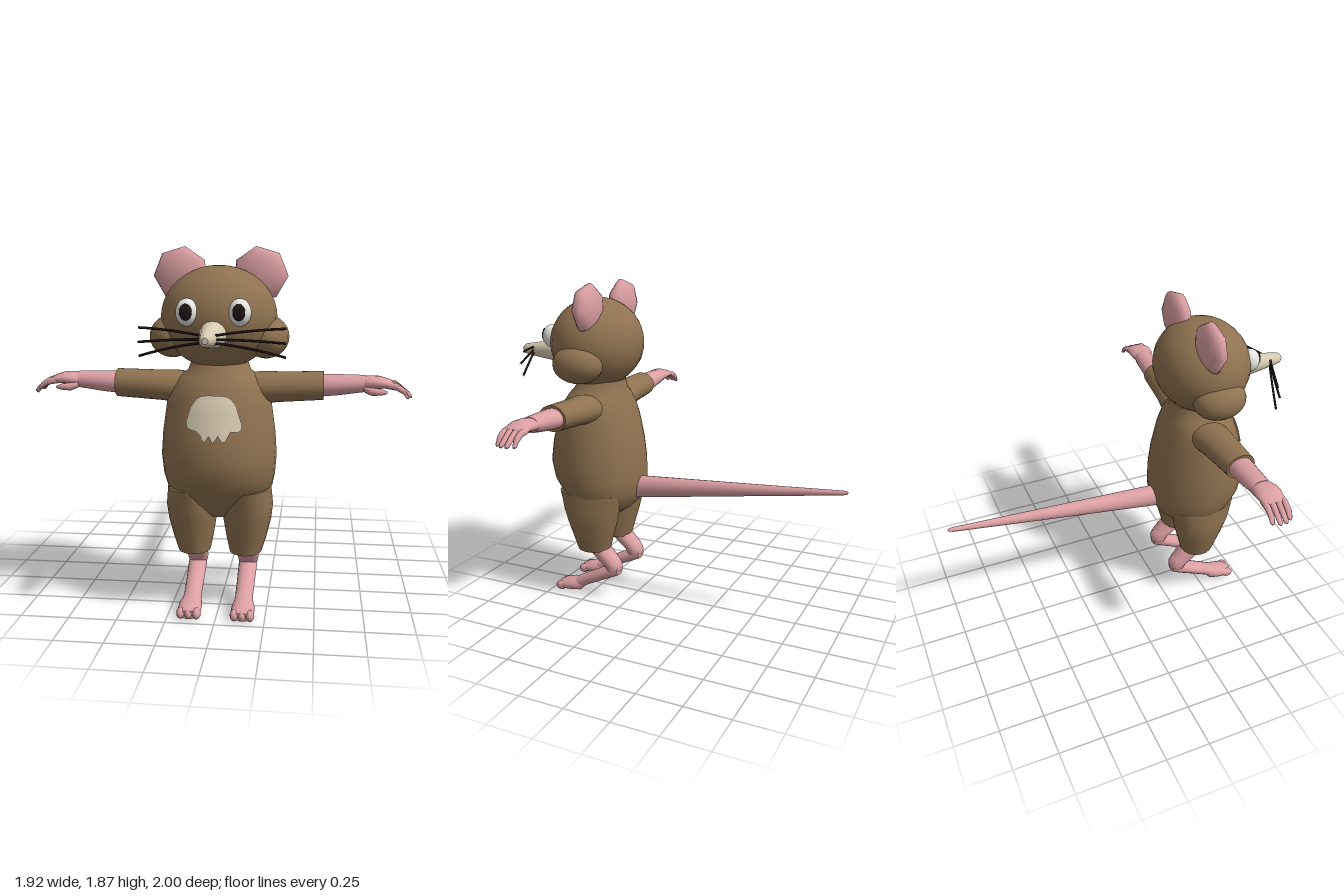
import * as THREE from 'three';

const mat = (name, color) => {
  const m = new THREE.MeshStandardMaterial({ color });
  m.name = name;
  return m;
};

// Body sections, bottom to top: y, half width, back z, front z
const BODY = [
  [0.5, 0.1, 0.36, 0.55], [0.54, 0.17, 0.3, 0.6], [0.59, 0.235, 0.25, 0.65], [0.66, 0.272, 0.22, 0.71],
  [0.73, 0.286, 0.212, 0.756], [0.83, 0.294, 0.215, 0.775], [0.95, 0.286, 0.23, 0.757],
  [1.1, 0.265, 0.262, 0.717], [1.18, 0.242, 0.29, 0.685], [1.225, 0.205, 0.305, 0.655],
  [1.255, 0.16, 0.32, 0.63], [1.31, 0.14, 0.33, 0.6],
];

// Front surface depth of the body at (x, y)
function bodyFront(x, y) {
  let i = 0;
  while (i < BODY.length - 2 && BODY[i + 1][0] < y) i++;
  const t = (y - BODY[i][0]) / (BODY[i + 1][0] - BODY[i][0]);
  const [rx, back, front] = [1, 2, 3].map((k) => THREE.MathUtils.lerp(BODY[i][k], BODY[i + 1][k], t));
  return (back + front) / 2 + ((front - back) / 2) * Math.sqrt(1 - (x / rx) ** 2);
}

// Capped loft of ellipses; section = [x, y, z, a, b], a and b along the two other axes
function loft(axis, sections, segs = 16) {
  const [ia, ib] = { x: [1, 2], y: [2, 0], z: [0, 1] }[axis];
  const k = 'xyz'.indexOf(axis);
  const forward = sections[sections.length - 1][k] > sections[0][k];
  const pos = [], idx = [];
  const ring = (s) => {
    const start = pos.length / 3;
    for (let j = 0; j < segs; j++) {
      const t = (j / segs) * Math.PI * 2 * (forward ? 1 : -1);
      const p = s.slice(0, 3);
      p[ia] += s[3] * Math.cos(t);
      p[ib] += s[4] * Math.sin(t);
      pos.push(...p);
    }
    return start;
  };
  sections.forEach(ring);
  for (let i = 0; i < sections.length - 1; i++) {
    for (let j = 0; j < segs; j++) {
      const n = (j + 1) % segs, a = i * segs, b = a + segs;
      idx.push(a + j, a + n, b + n, a + j, b + n, b + j);
    }
  }
  [sections[0], sections[sections.length - 1]].forEach((s, end) => {
    const r = ring(s), c = pos.length / 3;
    pos.push(s[0], s[1], s[2]);
    for (let j = 0; j < segs; j++) {
      const n = (j + 1) % segs;
      if (end) idx.push(c, r + j, r + n);
      else idx.push(c, r + n, r + j);
    }
  });
  const g = new THREE.BufferGeometry();
  g.setAttribute('position', new THREE.Float32BufferAttribute(pos, 3));
  g.setIndex(idx);
  g.computeVertexNormals();
  return g;
}

// Chest patch draped over the body, with a ragged lower edge: x, top y, bottom y
function patchGeometry() {
  const cols = [
    [-0.136, 1.03, 1.01], [-0.115, 1.1, 0.995], [-0.085, 1.143, 0.99], [-0.065, 1.153, 0.975],
    [-0.04, 1.157, 0.935], [-0.02, 1.158, 0.97], [0, 1.158, 0.935], [0.025, 1.158, 0.97],
    [0.045, 1.156, 0.94], [0.06, 1.153, 0.945], [0.085, 1.14, 0.99], [0.115, 1.085, 0.985], [0.136, 1.02, 0.995],
  ];
  const rows = 8, pos = [], idx = [];
  cols.forEach(([x, top, bottom], i) => {
    for (let j = 0; j <= rows; j++) {
      const y = THREE.MathUtils.lerp(bottom, top, j / rows);
      pos.push(x, y, bodyFront(x, y) + 0.007);
      if (i && j) {
        const d = i * (rows + 1) + j, c = d - rows - 1;
        idx.push(c - 1, d - 1, d, c - 1, d, c);
      }
    }
  });
  const g = new THREE.BufferGeometry();
  g.setAttribute('position', new THREE.Float32BufferAttribute(pos, 3));
  g.setIndex(idx);
  g.computeVertexNormals();
  return g;
}

export function createModel() {
  const model = new THREE.Group();
  model.name = 'mouse';
  const fur = mat('brownFur', 0x8f7250);
  const skin = mat('pinkSkin', 0xdb9fa3);
  const cream = mat('cream', 0xd8cbb2);
  const white = mat('eyeWhite', 0xe6e6e2);
  const black = mat('black', 0x211616);
  cream.side = THREE.DoubleSide;

  const add = (name, geometry, material) => {
    const m = new THREE.Mesh(geometry, material);
    m.name = name;
    model.add(m);
    return m;
  };
  const ball = (name, material, p, r, w = 20, h = 14) => {
    const m = add(name, new THREE.SphereGeometry(1, w, h), material);
    m.position.set(...p);
    m.scale.set(...r);
    return m;
  };

  // Torso, chest patch, tail
  add('body', loft('y', BODY.map(([y, rx, b, f]) => [0, y, (b + f) / 2, (f - b) / 2, rx]), 32), fur);
  add('chestPatch', patchGeometry(), cream);
  add('tail', loft('z', [
    [0, 0.675, 0.27, 0.056, 0.066], [0, 0.683, 0.2, 0.055, 0.066], [0, 0.765, -0.55, 0.03, 0.031],
    [0, 0.812, -0.975, 0.013, 0.013], [0, 0.815, -1, 0.006, 0.007],
  ]), skin);

  // Head and snout
  ball('head', fur, [0, 1.52, 0.49], [0.29, 0.255, 0.262], 28, 20);
  add('snout', loft('z', [
    [0, 1.455, 0.68, 0.072, 0.072], [0, 1.453, 0.78, 0.062, 0.062], [0, 1.45, 0.95, 0.036, 0.036],
    [0, 1.45, 0.985, 0.029, 0.029], [0, 1.45, 1, 0.014, 0.014],
  ]), cream);

  for (const s of [1, -1]) {
    const side = s > 0 ? 'left' : 'right';
    const part = (name, axis, sections, material, segs) =>
      add(side + name, loft(axis, sections.map(([x, ...rest]) => [x * s, ...rest]), segs), material);

    // Face
    ball(side + 'Cheek', fur, [s * 0.235, 1.425, 0.485], [0.115, 0.108, 0.15]);
    ball(side + 'Eye', white, [s * 0.125, 1.557, 0.715], [0.055, 0.066, 0.055]);
    ball(side + 'Pupil', black, [s * 0.125, 1.56, 0.762], [0.03, 0.04, 0.014], 14, 10);
    const ear = ball(side + 'Ear', skin, [s * 0.2, 1.73, 0.428], [0.14, 0.138, 0.062], 7, 10);
    ear.geometry.rotateX(Math.PI / 2).rotateZ(THREE.MathUtils.degToRad(s > 0 ? -81 : -99));

    // Whiskers: start y, middle y, end y, end z
    [[1.465, 1.487, 1.488, 0.77], [1.45, 1.443, 1.422, 0.79], [1.435, 1.41, 1.355, 0.775]].forEach(([y0, y1, y2, z], i) => {
      const curve = new THREE.QuadraticBezierCurve3(
        new THREE.Vector3(s * 0.02, y0, 0.92),
        new THREE.Vector3(s * 0.18, y1, (0.91 + z) / 2),
        new THREE.Vector3(s * 0.345, y2, z));
      add(side + 'Whisker' + (i + 1), new THREE.TubeGeometry(curve, 8, 0.006, 6), black);
    });

    // Arm and hand
    part('Sleeve', 'x', [
      [0.1, 1.165, 0.465, 0.07, 0.1], [0.22, 1.168, 0.47, 0.082, 0.11], [0.3, 1.172, 0.473, 0.077, 0.1],
      [0.525, 1.182, 0.475, 0.072, 0.084],
    ], fur, 20);
    part('Forearm', 'x', [
      [0.5, 1.182, 0.472, 0.058, 0.07], [0.6, 1.187, 0.472, 0.053, 0.066], [0.69, 1.193, 0.472, 0.046, 0.06],
      [0.73, 1.195, 0.474, 0.042, 0.056],
    ], skin);
    part('Palm', 'x', [
      [0.71, 1.195, 0.474, 0.036, 0.05], [0.75, 1.2, 0.476, 0.036, 0.068], [0.8, 1.203, 0.477, 0.031, 0.07],
      [0.85, 1.197, 0.475, 0.022, 0.064], [0.87, 1.192, 0.475, 0.012, 0.055],
    ], skin);
    for (let f = 0; f < 4; f++) {
      const z = 0.425 + f * 0.033, end = f === 0 || f === 3 ? 0.94 : 0.958;
      part('Finger' + (f + 1), 'x', [
        [0.83, 1.196, z, 0.018, 0.017], [0.88, 1.188, z, 0.018, 0.017], [0.915, 1.166, z, 0.016, 0.016],
        [end - 0.01, 1.142, z, 0.013, 0.014], [end, 1.134, z, 0.005, 0.007],
      ], skin, 8);
    }
    part('Thumb', 'x', [
      [0.72, 1.175, 0.52, 0.016, 0.016], [0.76, 1.163, 0.535, 0.02, 0.019], [0.81, 1.162, 0.537, 0.015, 0.015],
      [0.835, 1.16, 0.532, 0.006, 0.006],
    ], skin, 8);

    // Leg: section a runs along z, b along x
    part('Thigh', 'y', [
      [0.135, 0.3, 0.47, 0.1, 0.084], [0.139, 0.38, 0.47, 0.122, 0.105], [0.143, 0.48, 0.472, 0.153, 0.125],
      [0.145, 0.56, 0.475, 0.175, 0.132], [0.145, 0.66, 0.475, 0.2, 0.122],
    ], fur, 20);
    part('Shin', 'y', [
      [0.137, 0.165, 0.33, 0.03, 0.035], [0.137, 0.185, 0.338, 0.046, 0.05], [0.137, 0.215, 0.342, 0.055, 0.056],
      [0.137, 0.25, 0.375, 0.073, 0.058], [0.137, 0.34, 0.465, 0.075, 0.067],
    ], skin);
    part('Ankle', 'z', [
      [0.137, 0.185, 0.3, 0.036, 0.03], [0.137, 0.175, 0.35, 0.05, 0.044], [0.136, 0.13, 0.44, 0.048, 0.041],
      [0.135, 0.075, 0.55, 0.046, 0.04], [0.135, 0.05, 0.6, 0.05, 0.036],
    ], skin);
    part('Foot', 'z', [
      [0.136, 0.065, 0.54, 0.03, 0.025], [0.136, 0.05, 0.57, 0.05, 0.042], [0.137, 0.043, 0.62, 0.06, 0.042],
      [0.137, 0.034, 0.68, 0.06, 0.032], [0.137, 0.028, 0.71, 0.05, 0.022],
    ], skin);
    for (let t = -1; t <= 1; t++) {
      ball(side + 'Toe' + (t + 2), skin, [s * (0.137 + t * 0.04), 0.029, 0.69], [0.023, 0.029, 0.034], 10, 8);
    }
  }
  return model;
}
